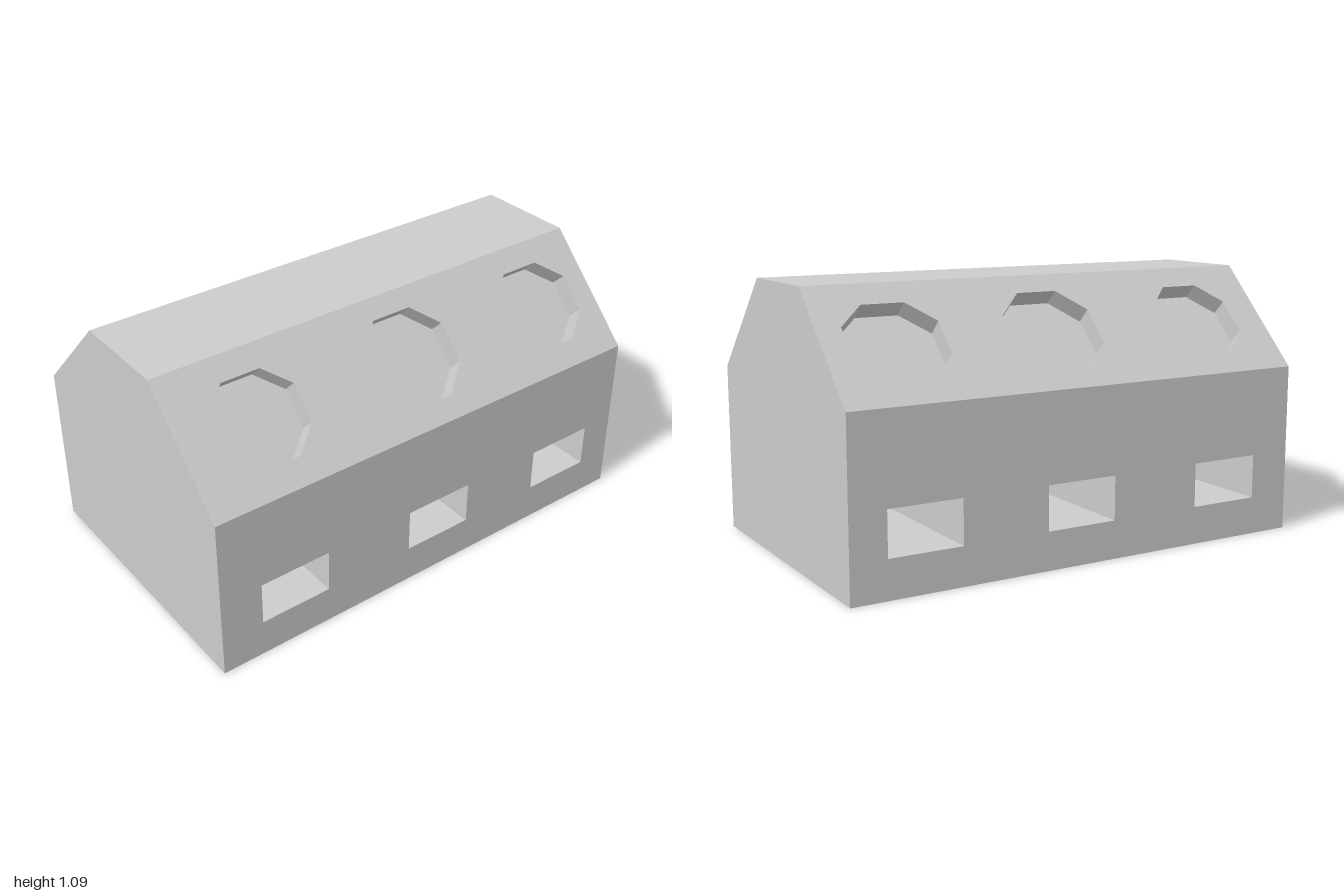
import * as THREE from 'three';

const W = 0.608, EAVE = 0.693, TOP = 1.088, RIDGE = 0.213, L = 1;
const SLOPE = Math.hypot(W - RIDGE, TOP - EAVE);
const RECESS_DEPTH = 0.076;

const material = new THREE.MeshStandardMaterial({
  color: 0xcccccc, flatShading: true, side: THREE.DoubleSide,
});

function addMesh(parent, name, geometry) {
  const mesh = new THREE.Mesh(geometry, material);
  mesh.name = name;
  parent.add(mesh);
  return mesh;
}

const vec = (pairs) => pairs.map(([x, y]) => new THREE.Vector2(x, y));
const rect = (u0, u1, v0, v1) => vec([[u0, v0], [u1, v0], [u1, v1], [u0, v1]]);

// Octagon with half-size a x b; k is the half-length of its flats as a fraction
const octagon = (u, v, a, b, k) => vec([
  [a, -k * b], [a, k * b], [k * a, b], [-k * a, b],
  [-a, k * b], [-a, -k * b], [-k * a, -b], [k * a, -b],
].map(([x, y]) => [u + x, v + y]));

// Flat sheet with cut-outs
function panel(outline, holes = []) {
  const shape = new THREE.Shape(outline);
  holes.forEach((h) => shape.holes.push(new THREE.Path(h)));
  return new THREE.ShapeGeometry(shape);
}

// Inward-facing walls running from an opening down to -depth
function lining(points, depth) {
  const pos = [];
  points.forEach((a, i) => {
    const b = points[(i + 1) % points.length];
    pos.push(a.x, a.y, 0, b.x, b.y, 0, b.x, b.y, -depth);
    pos.push(a.x, a.y, 0, b.x, b.y, -depth, a.x, a.y, -depth);
  });
  const g = new THREE.BufferGeometry();
  g.setAttribute('position', new THREE.Float32BufferAttribute(pos, 3));
  g.computeVertexNormals();
  return g;
}

// Local frame: u runs along -z, v runs up the sheet, normal faces outwards
function frame(name, origin, v, normal) {
  const g = new THREE.Group();
  g.name = name;
  const m = new THREE.Matrix4().makeBasis(
    new THREE.Vector3(0, 0, -1), v.normalize(), normal.normalize());
  g.quaternion.setFromRotationMatrix(m);
  g.position.copy(origin);
  return g;
}

export function createModel() {
  const model = new THREE.Group();
  model.name = 'hollowBlock';

  // End walls
  const profile = vec([[-W, 0], [W, 0], [W, EAVE], [RIDGE, TOP], [-RIDGE, TOP], [-W, EAVE]]);
  addMesh(model, 'frontWall', panel(profile)).position.z = L;
  const back = addMesh(model, 'backWall', panel(profile));
  back.position.z = -L;
  back.rotation.y = Math.PI;

  // Flat roof strip
  const roof = addMesh(model, 'roofTop', new THREE.PlaneGeometry(2 * RIDGE, 2 * L));
  roof.rotation.x = -Math.PI / 2;
  roof.position.y = TOP;

  // Openings, placed along the length (u = -z)
  const slots = [-0.67, 0.03, 0.70].map((u) => rect(u - 0.152, u + 0.152, 0.155, 0.335));
  const recesses = [
    [-0.668, 0.185, 0.175], [0.034, 0.195, 0.188], [0.704, 0.195, 0.175],
  ].map(([u, a, b]) => octagon(u, SLOPE / 2 + 0.003, a, b, 0.45));

  for (const side of [1, -1]) {
    const half = new THREE.Group();
    half.name = side > 0 ? 'leftSide' : 'rightSide';
    half.scale.x = side;
    model.add(half);

    // Upright wall, with tunnels passing through to the other side
    const wall = frame('sideWall', new THREE.Vector3(W, 0, 0),
      new THREE.Vector3(0, 1, 0), new THREE.Vector3(1, 0, 0));
    half.add(wall);
    addMesh(wall, 'wallSheet', panel(rect(-L, L, 0, EAVE), slots));
    if (side > 0) slots.forEach((s) => addMesh(wall, 'tunnel', lining(s, 2 * W)));

    // Sloped roof with octagonal recesses
    const slope = frame('slopedRoof', new THREE.Vector3(W, EAVE, 0),
      new THREE.Vector3(RIDGE - W, TOP - EAVE, 0),
      new THREE.Vector3(TOP - EAVE, W - RIDGE, 0));
    half.add(slope);
    addMesh(slope, 'slopeSheet', panel(rect(-L, L, 0, SLOPE), recesses));
    recesses.forEach((r) => {
      addMesh(slope, 'recessWall', lining(r, RECESS_DEPTH));
      addMesh(slope, 'recessFloor', panel(r)).position.z = -RECESS_DEPTH;
    });
  }
  return model;
}
